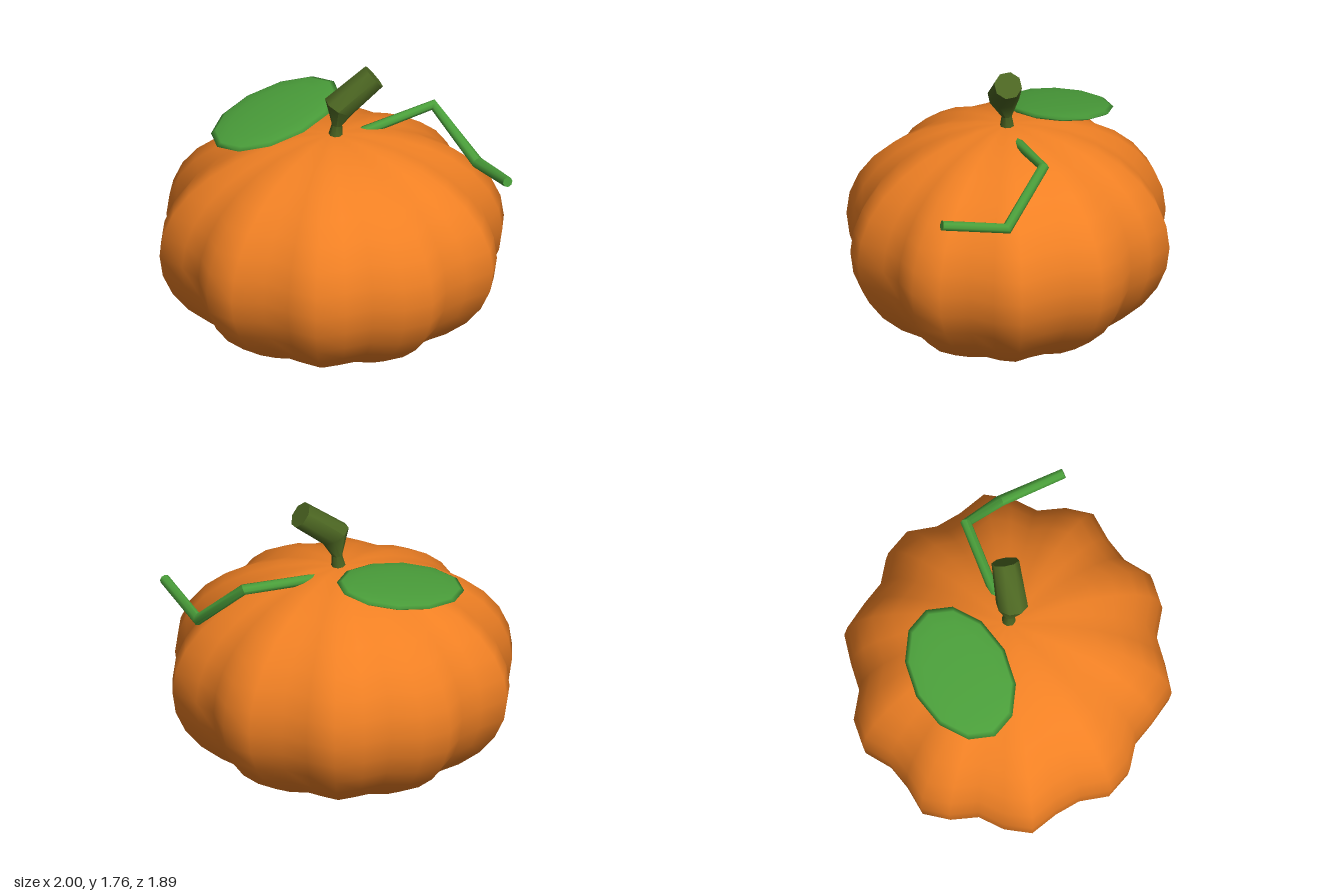
import * as THREE from 'three';
import { mergeVertices, toCreasedNormals } from 'three/addons/utils/BufferGeometryUtils.js';

const mat = (color) => new THREE.MeshStandardMaterial({ color });

function part(name, geometry, material) {
  const mesh = new THREE.Mesh(geometry, material);
  mesh.name = name;
  return mesh;
}

// Closed tube through rings given as [x, y, z, radius]; each ring faces the mean direction of its neighbours
function loft(rings, sides, ref, crease) {
  const centres = rings.map(([x, y, z]) => new THREE.Vector3(x, y, z));
  const dir = (i) => centres[i + 1].clone().sub(centres[i]).normalize();
  const last = rings.length - 1;
  const pos = [], idx = [];
  centres.forEach((c, i) => {
    const t = new THREE.Vector3();
    if (i > 0) t.add(dir(i - 1));
    if (i < last) t.add(dir(i));
    t.normalize();
    const u = t.clone().cross(ref).normalize();
    const v = t.clone().cross(u);
    for (let j = 0; j < sides; j++) {
      const a = (j / sides) * Math.PI * 2;
      const p = c.clone().addScaledVector(u, Math.cos(a) * rings[i][3]).addScaledVector(v, Math.sin(a) * rings[i][3]);
      pos.push(p.x, p.y, p.z);
    }
  });
  for (let i = 0; i < last; i++) {
    for (let j = 0; j < sides; j++) {
      const k = (j + 1) % sides;
      const a = i * sides + j, b = i * sides + k, c = a + sides, d = b + sides;
      idx.push(a, b, c, b, d, c);
    }
  }
  // End caps
  const end = last * sides;
  for (let j = 1; j < sides - 1; j++) {
    idx.push(0, j + 1, j, end, end + j, end + j + 1);
  }
  const g = new THREE.BufferGeometry();
  g.setAttribute('position', new THREE.Float32BufferAttribute(pos, 3));
  g.setIndex(idx);
  return toCreasedNormals(g, crease);
}

// Sphere whose radius swells into ten lobes around the vertical axis
function lobedBody() {
  let g = new THREE.SphereGeometry(1, 36, 16);
  g.deleteAttribute('uv');
  g.deleteAttribute('normal');
  const p = g.attributes.position;
  for (let i = 0; i < p.count; i++) {
    const x = p.getX(i), z = p.getZ(i);
    const swell = 1 + 0.054 * Math.cos(10 * Math.atan2(x, z));
    p.setXYZ(i, x * swell * 0.962, p.getY(i) * 0.675, z * swell * 0.8965);
  }
  g = mergeVertices(g, 1e-4);
  g.computeVertexNormals();
  return g;
}

export function createModel() {
  const model = new THREE.Group();
  model.name = 'pumpkin';
  const green = mat(0x4a9e3a);

  const body = part('body', lobedBody(), mat(0xf08024));
  body.position.set(-0.045, 0.675, 0);
  model.add(body);

  // Stem: thin neck widening into a thick slanted stub
  model.add(part('stem', loft([
    [-0.025, 1.32, 0, 0.045],
    [-0.015, 1.41, 0, 0.03],
    [0.0, 1.54, 0.015, 0.092],
    [0.19, 1.7, -0.06, 0.08],
  ], 8, new THREE.Vector3(0, 0, 1), 0.9), mat(0x4c6622)));

  // Leaf: flattened ellipsoid lying along the slope of the body
  const leaf = part('leaf', new THREE.SphereGeometry(1, 12, 8), green);
  const up = new THREE.Vector3(-0.2, 1, 0.08).normalize();
  const along = new THREE.Vector3(0.775, 0, -0.63);
  along.addScaledVector(up, -along.dot(up)).normalize();
  const across = along.clone().cross(up);
  leaf.quaternion.setFromRotationMatrix(new THREE.Matrix4().makeBasis(along, up, across));
  leaf.scale.set(0.41, 0.035, 0.285);
  leaf.position.set(-0.385, 1.333, -0.21);
  model.add(leaf);

  // Vine: kinked tendril hanging over the side
  model.add(part('vine', loft([
    [0.1, 1.305, -0.09, 0.03],
    [0.5, 1.365, -0.345, 0.032],
    [0.765, 1.085, -0.2, 0.034],
    [0.97, 1.16, 0.13, 0.03],
  ], 8, new THREE.Vector3(0, 1, 0), 0.9), green));

  return model;
}
